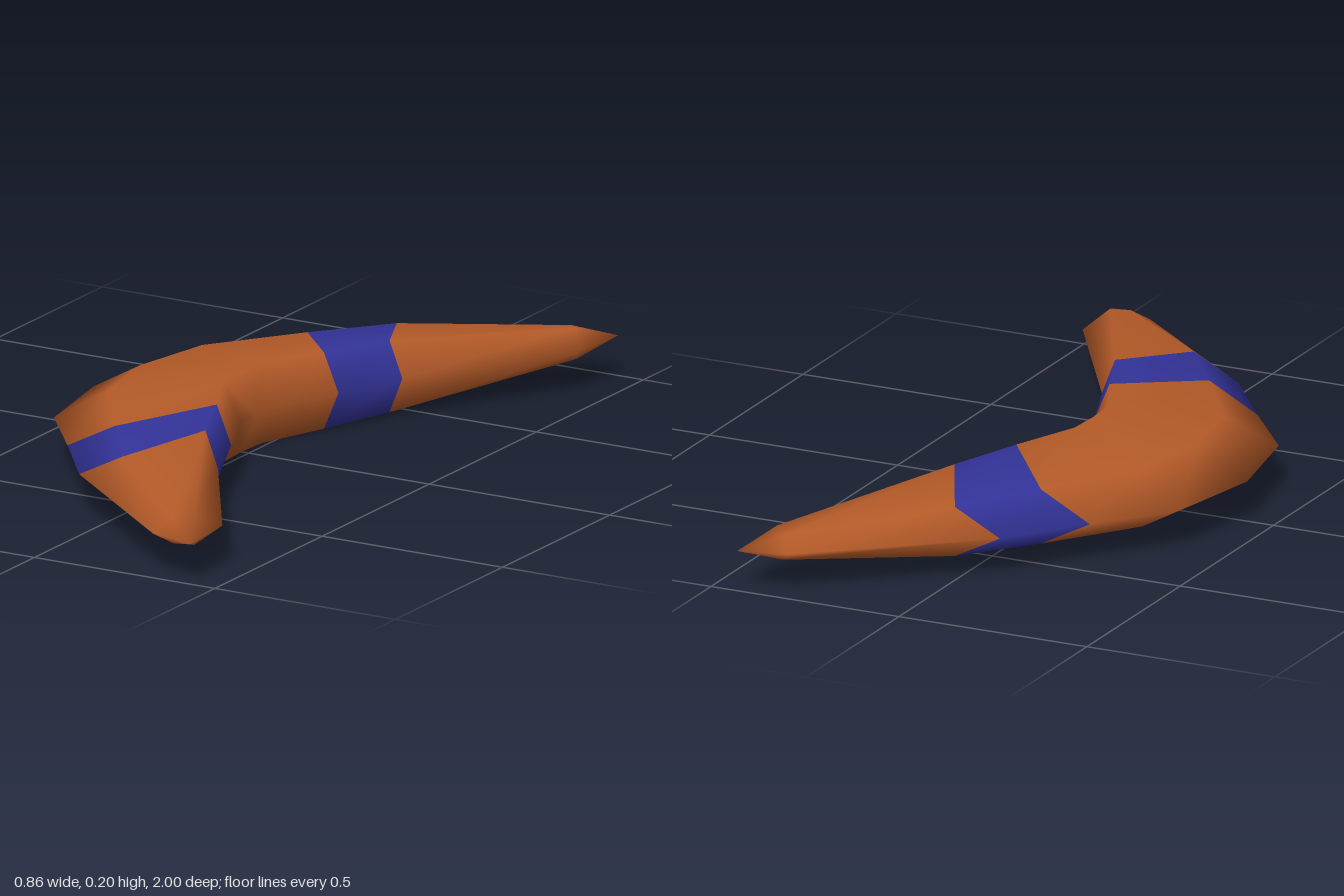
import * as THREE from 'three';

// Half of the curved wing, from the middle to the end. Each section lists
// [x, y, z] for: outer edge, upper outer ridge, upper inner ridge, inner edge.
const MID = 0.1;
const half = [
  [[-0.43, MID, 0], [-0.30, 0.173, 0], [-0.02, 0.2, 0], [0.02, MID, 0]],
  [[-0.38, MID, 0.27], [-0.26, 0.172, 0.22], [-0.015, 0.2, 0.09], [0.02, MID, 0.075]],
  [[-0.235, MID, 0.45], [-0.105, 0.168, 0.45], [0.06, 0.195, 0.25], [0.10, MID, 0.25]],
  [[-0.09, MID, 0.64], [0.03, 0.162, 0.64], [0.135, 0.189, 0.43], [0.17, MID, 0.43]],
  [[0.31, MID, 0.97], [0.342, 0.13, 0.93], [0.378, 0.139, 0.89], [0.42, MID, 0.83]],
];
const TIP = [0.43, MID, 1];

// Full six-sided ring: the upper ridges are mirrored below the middle plane
function ring(section, side) {
  const [outer, upOuter, upInner, inner] = section;
  const down = ([x, y, z]) => [x, 2 * MID - y, z];
  return [outer, upOuter, upInner, inner, down(upInner), down(upOuter)]
    .map(([x, y, z]) => [x, y, z * side]);
}

export function createModel() {
  const wood = new THREE.MeshStandardMaterial({ color: 0xb45a28 });
  wood.name = 'orange wood';
  const paint = new THREE.MeshStandardMaterial({ color: 0x333399 });
  paint.name = 'blue paint';

  // Rings run from the back end (-z) to the front end (+z)
  const rings = [
    ...half.slice(1).reverse().map((s) => ring(s, -1)),
    ...half.map((s) => ring(s, 1)),
  ];
  const points = rings.flat();
  const backTip = points.push([TIP[0], TIP[1], -TIP[2]]) - 1;
  const frontTip = points.push(TIP) - 1;

  const index = [];
  const geometry = new THREE.BufferGeometry();
  const addGroup = (material, build) => {
    const start = index.length;
    build();
    geometry.addGroup(start, index.length - start, material);
  };
  const last = rings.length - 1;

  // Pointed back end
  addGroup(0, () => {
    for (let j = 0; j < 6; j++) index.push(backTip, j, (j + 1) % 6);
  });
  // Body bands; the second from each end is a painted stripe
  for (let i = 0; i < last; i++) {
    addGroup(i === 1 || i === last - 2 ? 1 : 0, () => {
      for (let j = 0; j < 6; j++) {
        const k = (j + 1) % 6;
        const a = i * 6 + j, b = i * 6 + k, c = b + 6, d = a + 6;
        if (i < last / 2) index.push(a, d, c, a, c, b);
        else index.push(a, d, b, d, c, b);
      }
    });
  }
  // Pointed front end
  addGroup(0, () => {
    for (let j = 0; j < 6; j++) index.push(last * 6 + j, frontTip, last * 6 + (j + 1) % 6);
  });

  geometry.setAttribute('position', new THREE.Float32BufferAttribute(points.flat(), 3));
  geometry.setIndex(index);
  geometry.computeVertexNormals();

  const body = new THREE.Mesh(geometry, [wood, paint]);
  body.name = 'curvedWing';
  const group = new THREE.Group();
  group.name = 'boomerang';
  group.add(body);
  return group;
}
